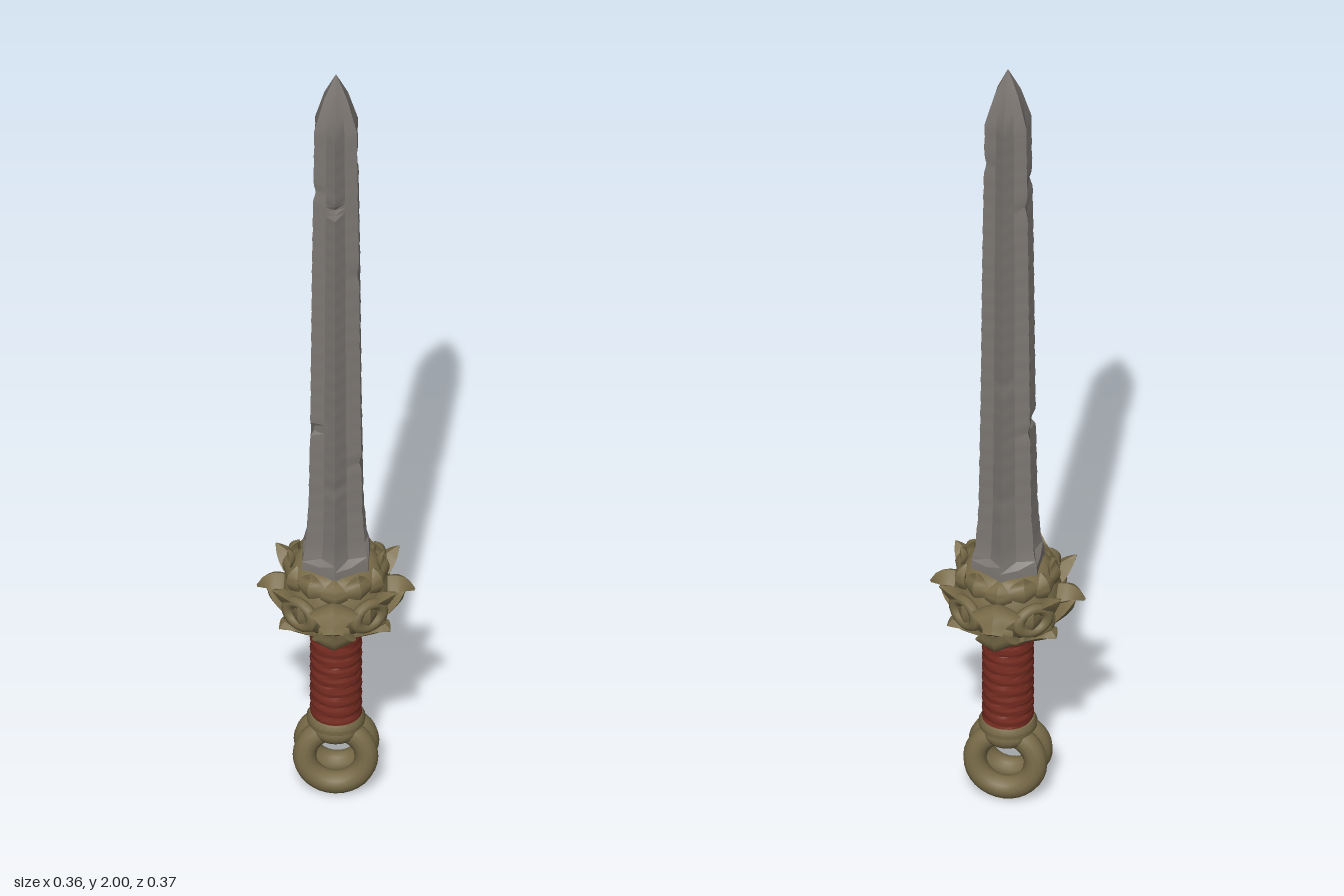
import * as THREE from 'three';
import { toCreasedNormals } from 'three/addons/utils/BufferGeometryUtils.js';

const steel = new THREE.MeshStandardMaterial({ color: 0x7c7773 });
steel.name = 'worn steel';
const bronze = new THREE.MeshStandardMaterial({ color: 0x786b48 });
bronze.name = 'aged bronze';
const leather = new THREE.MeshStandardMaterial({ color: 0x782d22 });
leather.name = 'red leather';

// Skin a list of closed rings (counter-clockwise about the travel direction) and cap both ends.
function loft(rings, crease) {
  const n = rings[0].length, pos = [], idx = [];
  rings.forEach(r => r.forEach(p => pos.push(...p)));
  for (let i = 0; i < rings.length - 1; i++) {
    for (let j = 0; j < n; j++) {
      const a = i * n + j, b = i * n + (j + 1) % n;
      idx.push(a, b, b + n, a, b + n, a + n);
    }
  }
  const end = (rings.length - 1) * n;
  for (const [start, flip] of [[0, true], [end, false]]) {
    const c = pos.length / 3, ring = rings[start / n];
    pos.push(...[0, 1, 2].map(k => ring.reduce((s, p) => s + p[k], 0) / n));
    for (let j = 0; j < n; j++) {
      const a = start + j, b = start + (j + 1) % n;
      idx.push(c, flip ? b : a, flip ? a : b);
    }
  }
  const g = new THREE.BufferGeometry();
  g.setAttribute('position', new THREE.Float32BufferAttribute(pos, 3));
  g.setIndex(idx);
  return toCreasedNormals(g, crease);
}

function part(parent, name, geometry, material) {
  const mesh = new THREE.Mesh(geometry, material);
  mesh.name = name;
  parent.add(mesh);
  return mesh;
}

// Ring about the y axis; radius is a function of index and angle.
const ringAt = (y, n, radius) => Array.from({ length: n }, (_, j) => {
  const a = j / n * Math.PI * 2, r = radius(j, a);
  return [Math.sin(a) * r, y, Math.cos(a) * r];
});

// Linear lookup in [key, value] pairs.
function along(table, y) {
  let i = 1;
  while (i < table.length - 1 && table[i][0] < y) i++;
  const [a, b] = [table[i - 1], table[i]];
  return THREE.MathUtils.mapLinear(y, a[0], b[0], a[1], b[1]);
}

// Six-edged star blade with hollow faces, chipped edges and a pointed tip.
function bladeGeometry() {
  const edge = [[0.6, 0.088], [0.655, 0.087], [0.69, 0.078], [0.8, 0.071], [1.1, 0.066],
    [1.5, 0.062], [1.86, 0.056], [1.94, 0.031], [2, 0.001]];
  const nicks = [[5, 1.02, 0.2], [0, 1.65, 0.22], [4, 1.64, 0.14], [1, 1.46, 0.1], [2, 1.75, 0.12],
    [3, 1.16, 0.1], [0, 0.87, 0.08], [3, 0.84, 0.08], [4, 1.02, 0.1], [1, 0.93, 0.08], [5, 1.69, 0.12]];
  const ys = [0.6, 0.655, 0.67, 0.69, 0.72];
  for (let y = 0.74; y < 1.85; y += 0.0125) ys.push(y);
  ys.push(1.86, 1.9, 1.94, 1.97, 2);
  return loft(ys.map((y, i) => ringAt(y, 12, j => {
    const r = along(edge, y);
    if (j % 2) return r * (y > 1.86 ? 0.8 : y < 0.67 ? 0.86 : 0.73);
    const body = y > 0.74 && y < 1.84;
    let k = body ? 1 - 0.012 * (1 + Math.sin(i * 1.7 + j * 2.3)) : 1;
    for (const [e, ny, d] of nicks) if (e === j / 2) k -= d * Math.max(0, 1 - Math.abs(y - ny) / 0.022);
    return r * k;
  })), 0.35);
}

// Pointed, ridged leaf along a curve given as [radius, height] points, turned to an azimuth.
function leafGeometry(points, width, thick, azimuth, blunt = 0.05) {
  const curve = new THREE.CatmullRomCurve3(points.map(([r, y]) => new THREE.Vector3(0, y, r)));
  const steps = 9, rings = [];
  for (let i = 0; i <= steps; i++) {
    const t = i / steps, p = curve.getPoint(t), d = curve.getTangent(t);
    const swell = Math.max(blunt, Math.pow(Math.sin(Math.PI * (0.25 + 0.75 * t)), 0.8));
    const w = width * swell, h = thick * Math.max(0.15, swell);
    const section = [[w, 0], [w * 0.45, h * 0.6], [0, h], [-w * 0.45, h * 0.6],
      [-w, 0], [-w * 0.45, -h * 0.6], [0, -h], [w * 0.45, -h * 0.6]];
    rings.push(section.map(([u, v]) => [u, p.y + v * d.z, p.z - v * d.y]));
  }
  return loft(rings, 0.6).rotateY(azimuth);
}

function buildGuard() {
  const guard = new THREE.Group();
  guard.name = 'guard';
  const profile = [[0, 0.44], [0.064, 0.44], [0.07, 0.45], [0.064, 0.465], [0.085, 0.475], [0.108, 0.5],
    [0.122, 0.535], [0.122, 0.565], [0.112, 0.6], [0.092, 0.628], [0.08, 0.635], [0, 0.635]]
    .map(p => new THREE.Vector2(...p));
  part(guard, 'guardCore', toCreasedNormals(new THREE.LatheGeometry(profile, 24), 0.7), bronze);

  const deg = Math.PI / 180;
  const leaf = (name, pts, w, h, angle, blunt) =>
    part(guard, name, leafGeometry(pts, w, h, angle * deg, blunt), bronze);

  // Long side leaves and rounded front and back lobes
  for (const s of [0, 180]) {
    leaf('sideLeaf', [[0.07, 0.535], [0.12, 0.56], [0.15, 0.565], [0.178, 0.55]], 0.04, 0.026, 90 + s);
    leaf('sideUnderLeaf', [[0.07, 0.47], [0.11, 0.5], [0.14, 0.53], [0.155, 0.545]], 0.042, 0.018, 90 + s);
    leaf('mainLobe', [[0.07, 0.53], [0.12, 0.57], [0.155, 0.575], [0.18, 0.55]], 0.058, 0.026, s, 0.4);
    leaf('lobeUnderLeaf', [[0.07, 0.475], [0.12, 0.495], [0.155, 0.515], [0.172, 0.55]], 0.05, 0.024, s, 0.3);
  }
  for (const s of [0, 180]) for (const m of [-1, 1]) {
    // Corner leaves with raised tips, and the leaves flanking each lobe
    leaf('cornerLeaf', [[0.07, 0.53], [0.115, 0.56], [0.142, 0.585], [0.166, 0.605]], 0.034, 0.018, s + m * 57);
    leaf('flankLeaf', [[0.07, 0.5], [0.11, 0.525], [0.13, 0.55], [0.142, 0.575]], 0.036, 0.02, s + m * 35);
    leaf('lowerCornerLeaf', [[0.07, 0.455], [0.1, 0.478], [0.125, 0.49], [0.145, 0.485]], 0.036, 0.016, s + m * 60);
    // Curled scroll beside each lobe
    const scroll = part(guard, 'scroll', new THREE.TorusGeometry(0.03, 0.013, 8, 20), bronze);
    scroll.position.set(m * 0.078, 0.548, s ? -0.1 : 0.1);
    scroll.rotation.y = (s ? -1 : 1) * m * 40 * deg;
    scroll.scale.x = 1.25;
  }
  // Crown hugging the blade and a downward skirt
  for (let i = 0; i < 6; i++) {
    leaf('crownLeaf', [[0.1, 0.585], [0.108, 0.615], [0.102, 0.635], [0.108, 0.655]], 0.036, 0.014, i * 60 + 30);
    leaf('crownTip', [[0.1, 0.58], [0.112, 0.605], [0.112, 0.625], [0.098, 0.645]], 0.032, 0.014, i * 60);
    leaf('skirtLeaf', [[0.105, 0.53], [0.116, 0.505], [0.1, 0.478], [0.078, 0.458]], 0.036, 0.016, i * 60);
  }
  return guard;
}

// Spiral-wrapped grip
function gripGeometry() {
  const rings = [];
  for (let i = 0; i <= 60; i++) {
    const t = i / 60;
    rings.push(ringAt(0.195 + t * 0.25, 24, (j, a) =>
      0.0545 + 0.005 * Math.sqrt(Math.abs(Math.sin(Math.PI * (t * 9 + a / (Math.PI * 2)))))));
  }
  return loft(rings, 0.9);
}

function buildPommel() {
  const pommel = new THREE.Group();
  pommel.name = 'pommel';
  const profile = [[0, 0.15], [0.04, 0.15], [0.056, 0.165], [0.066, 0.18], [0.067, 0.19], [0.06, 0.203], [0, 0.203]]
    .map(p => new THREE.Vector2(...p));
  part(pommel, 'pommelCollar', toCreasedNormals(new THREE.LatheGeometry(profile, 24), 0.7), bronze);
  // Twin rings side by side, splayed slightly toward the bottom
  for (const s of [-1, 1]) {
    const ring = part(pommel, 'pommelRing', new THREE.TorusGeometry(0.07, 0.027, 12, 32), bronze);
    ring.position.set(0, 0.1, s * 0.031);
    ring.rotation.x = -s * 0.1;
    const lug = part(pommel, 'pommelLug', new THREE.SphereGeometry(0.032, 16, 12), bronze);
    lug.position.set(0, 0.172, s * 0.034);
    lug.scale.x = 1.5;
  }
  return pommel;
}

export function createModel() {
  const model = new THREE.Group();
  model.name = 'sword';
  part(model, 'blade', bladeGeometry(), steel);
  model.add(buildGuard());
  part(model, 'grip', gripGeometry(), leather);
  model.add(buildPommel());
  return model;
}
